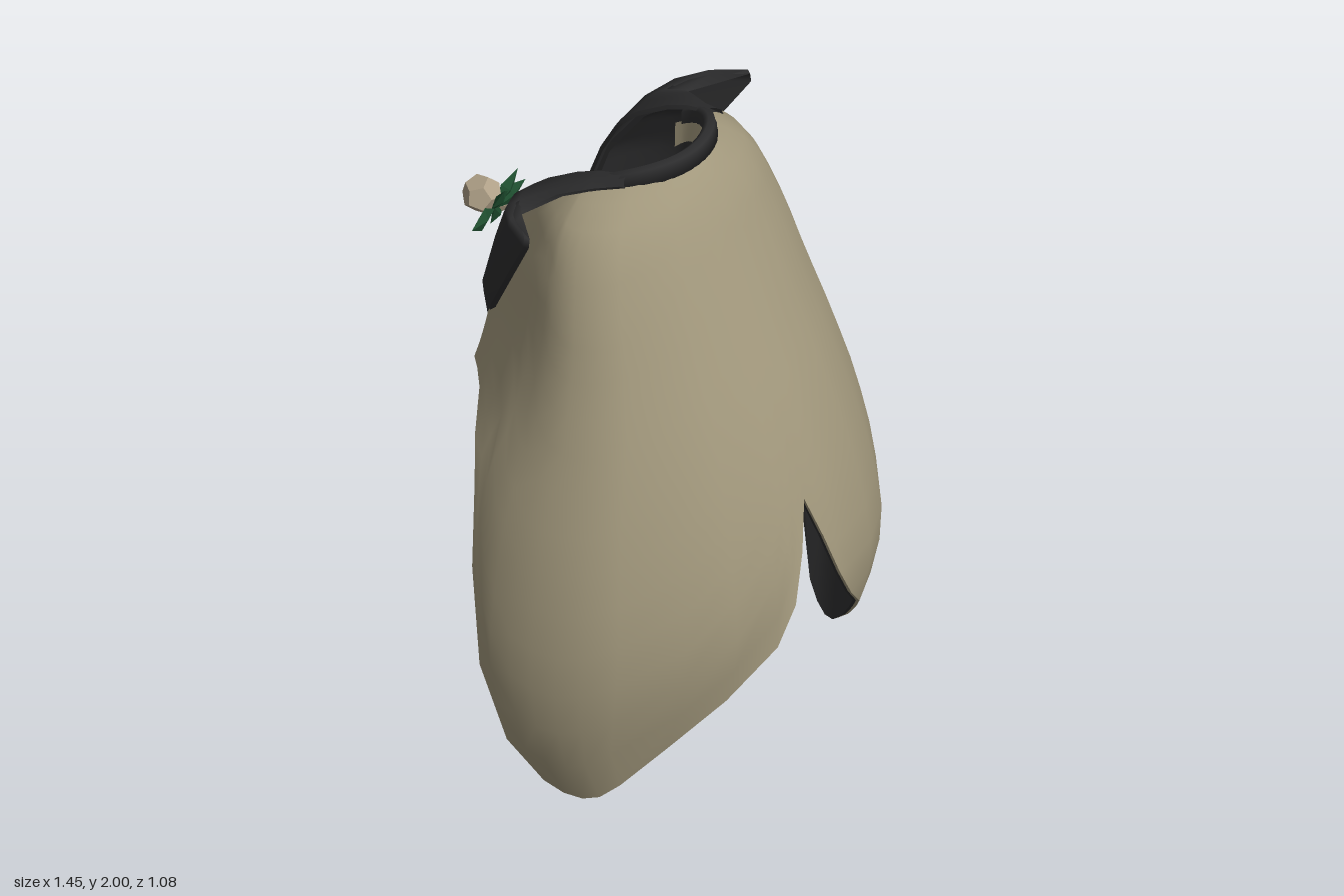
import * as THREE from 'three';

const V = (x, y, z) => new THREE.Vector3(x, y, z);

// Piecewise linear lookup in a table of [key, value] pairs with rising keys
function look(table, k) {
  if (k <= table[0][0]) return table[0][1];
  for (let i = 1; i < table.length; i++) {
    const [k0, v0] = table[i - 1], [k1, v1] = table[i];
    if (k <= k1) return v0 + (v1 - v0) * (k - k0) / (k1 - k0);
  }
  return table[table.length - 1][1];
}

// Half width, back depth, depth of the side seam, front opening and front roundness by height
const WIDTH = [[0, .6], [.1, .65], [.2, .692], [.4, .728], [.6, .72], [.8, .69], [1, .64], [1.2, .57],
  [1.4, .507], [1.66, .44], [1.8, .385], [1.85, .345], [1.9, .285], [1.93, .245], [1.96, .22]];
const BACK = [[0, .4], [.2, .43], [.35, .495], [.5, .54], [.6, .545], [.8, .515], [1, .465], [1.2, .4],
  [1.4, .325], [1.6, .25], [1.8, .175], [1.9, .125], [1.96, .085]];
const SIDE = [[0, 0], [.2, -.03], [.5, -.07], [1, -.07], [1.2, -.04], [1.5, -.05], [1.8, -.1], [1.95, -.12]];
const OPEN_Z = [[1.12, -.535], [1.25, -.52], [1.4, -.495], [1.65, -.415], [1.82, -.295], [1.9, -.2]];
const OPEN_X = [[1.12, .16], [1.4, .185], [1.7, .207], [1.95, .22]];
const ROUND = [[1.1, 1], [1.2, .8], [1.4, .6]];

// Upper edge and hem by girth: 0 centre back, 1 side seam, 2 front opening
const TOP = [[0, 1.96], [.5, 1.945], [1, 1.92], [2, 1.88]];
const HEM = [[0, .92], [.045, .77], [.09, .62], [.15, .5], [.28, .35], [.43, .2], [.62, .07], [.72, .015],
  [.8, 0], [.88, .012], [.954, .05], [1.038, .2], [1.102, .45], [1.181, .75], [1.253, 1], [1.335, 1.1],
  [1.485, 1.19], [1.6, 1.2], [1.74, 1.17], [1.87, 1.145], [2, 1.12]];

// Point of the coat at girth a (negative on the right) and height y, set inwards by d
function coatPoint(a, y, d) {
  const s = Math.abs(a), w = look(WIDTH, y) - d, zc = look(SIDE, y);
  let x, z;
  if (s <= 1) {
    const t = s * Math.PI / 2;
    x = w * Math.sin(t);
    z = zc + (look(BACK, y) - d - zc) * Math.cos(t);
  } else {
    const f = s - 1, t = f * Math.PI / 2, k = look(ROUND, y);
    const xo = look(OPEN_X, y), zo = look(OPEN_Z, y) + d;
    x = xo + (w - xo) * (k * Math.cos(t) + (1 - k) * (1 - f));
    z = zc + (zo - zc) * (k * Math.sin(t) + (1 - k) * f);
  }
  return V(Math.sign(a) * x, y, z);
}

// Smooth surface through rows of points
function surface(rows) {
  const n = rows[0].length, index = [];
  for (let i = 0; i < rows.length - 1; i++)
    for (let j = 0; j < n - 1; j++) {
      const p = i * n + j;
      index.push(p, p + n, p + 1, p + 1, p + n, p + n + 1);
    }
  const g = new THREE.BufferGeometry().setFromPoints(rows.flat());
  g.setIndex(index);
  g.computeVertexNormals();
  return g;
}

export function createModel() {
  const model = new THREE.Group();
  const cloth = new THREE.MeshStandardMaterial({ color: 0xa49a7e, side: THREE.DoubleSide });
  const dark = new THREE.MeshStandardMaterial({ color: 0x2e2e2f, side: THREE.DoubleSide });
  const petal = new THREE.MeshStandardMaterial({ color: 0xb0a188 });
  const green = new THREE.MeshStandardMaterial({ color: 0x1f4f30 });
  const add = (name, geometry, material, parent = model) => {
    const m = new THREE.Mesh(geometry, material);
    m.name = name;
    parent.add(m);
    return m;
  };

  // Coat shell and lining
  const half = HEM.map(p => p[0]);
  const girths = [...half.slice(1).reverse().map(a => -a), ...half];
  const steps = 18;
  const shell = d => Array.from({ length: steps + 1 }, (_, i) => girths.map(a => {
    const top = look(TOP, Math.abs(a)), hem = look(HEM, Math.abs(a));
    return coatPoint(a, top + (hem - top) * (i / steps) ** 1.4, d);
  }));
  const outer = shell(0), inner = shell(.02);
  add('coat', surface(outer), cloth);
  add('lining', surface(inner), dark);

  // Hem rim, half cloth and half lining, and the edges of the front opening
  const middle = outer[steps].map((p, i) => p.clone().lerp(inner[steps][i], .5));
  add('hemRim', surface([outer[steps], middle]), cloth);
  add('hemLining', surface([middle, inner[steps]]), dark);
  for (const [column, name] of [[0, 'rightFrontEdge'], [girths.length - 1, 'leftFrontEdge']])
    add(name, surface([outer.map(r => r[column]), inner.map(r => r[column])]), dark);

  // Neck bands run as open loops round the back of the neck
  const neckRing = (rx, zBack, y, end) => Array.from({ length: 25 }, (_, i) => {
    const t = (i / 12 - 1) * end;
    return V(rx * Math.sin(t), y - .07 * (1 - Math.cos(t)) ** 1.6, -.12 + (zBack + .12) * Math.cos(t));
  });
  const END = 1.62;
  add('collar', surface([
    neckRing(.198, .045, 1.945, END), neckRing(.198, .05, 1.988, END), neckRing(.21, .065, 2, END),
    neckRing(.228, .085, 1.995, END), neckRing(.238, .095, 1.945, END), neckRing(.198, .045, 1.945, END)]), dark);
  add('neckBand', surface([neckRing(.2, .05, 1.955, 1.75), neckRing(.187, .005, 1.88, 1.75)]), cloth);
  add('neckLining', surface([neckRing(.187, .005, 1.88, 1.75), neckRing(.182, -.03, 1.82, 1.75)]), dark);

  // Lapels: pairs of inner and outer edge points from the neck down to the tip
  const LAPEL = [
    [V(.196, 1.97, -.03), V(.235, 1.955, -.01)],
    [V(.2, 1.945, -.11), V(.262, 1.925, -.09)],
    [V(.203, 1.905, -.19), V(.31, 1.89, -.18)],
    [V(.202, 1.83, -.3), V(.38, 1.82, -.275)],
    [V(.2, 1.77, -.36), V(.515, 1.875, -.137)],
    [V(.199, 1.745, -.375), V(.52, 1.845, -.137)],
    [V(.195, 1.65, -.425), V(.455, 1.66, -.245)],
    [V(.178, 1.4, -.51), V(.355, 1.42, -.39)],
    [V(.167, 1.25, -.53), V(.235, 1.25, -.49)],
    [V(.158, 1.12, -.542), V(.172, 1.12, -.538)]];
  for (const [side, name] of [[1, 'leftLapel'], [-1, 'rightLapel']]) {
    const rows = LAPEL.map(([a, b]) => {
      const w = a.distanceTo(b);
      return [0, .25, .5, .75, 1].map(t => {
        const bulge = 4 * t * (1 - t) * w * .14;
        return a.clone().lerp(b, t).add(V(bulge * .5, bulge * .3, -bulge)).multiply(V(side, 1, 1));
      });
    });
    add(name, surface(rows), dark);
    // Turned back side gives the lapel its thickness
    const back = rows.map(r => r.map(p => p.clone().add(V(-side * .008, -.004, .014))));
    add(name + 'Back', surface(back), dark);
    add(name + 'Edge', surface([rows.map(r => r[4]), back.map(r => r[4])]), dark);
    add(name + 'Fold', surface([rows.map(r => r[0]), back.map(r => r[0])]), dark);
  }

  // Buttonhole flower with a bud and pointed leaves
  const flower = new THREE.Group();
  flower.name = 'buttonholeFlower';
  model.add(flower);
  const bloom = add('bloom', new THREE.DodecahedronGeometry(.06), petal, flower);
  bloom.position.set(-.29, 1.74, -.475);
  bloom.rotation.set(.3, .4, .1);
  const bud = add('bud', new THREE.DodecahedronGeometry(.037), petal, flower);
  bud.position.set(-.225, 1.675, -.475);
  bud.rotation.set(.2, .1, .5);
  const base = V(-.28, 1.7, -.435);
  for (const tip of [V(-.435, 1.73, -.395), V(-.145, 1.73, -.43), V(-.31, 1.81, -.375),
    V(-.2, 1.6, -.485), V(-.18, 1.79, -.43)]) {
    const leaf = add('leaf', new THREE.OctahedronGeometry(1), green, flower);
    leaf.position.copy(base).lerp(tip, .5);
    leaf.scale.set(.038, .014, base.distanceTo(tip) / 2);
    leaf.up.set(0, 0, -1);
    leaf.lookAt(tip);
  }
  return model;
}
